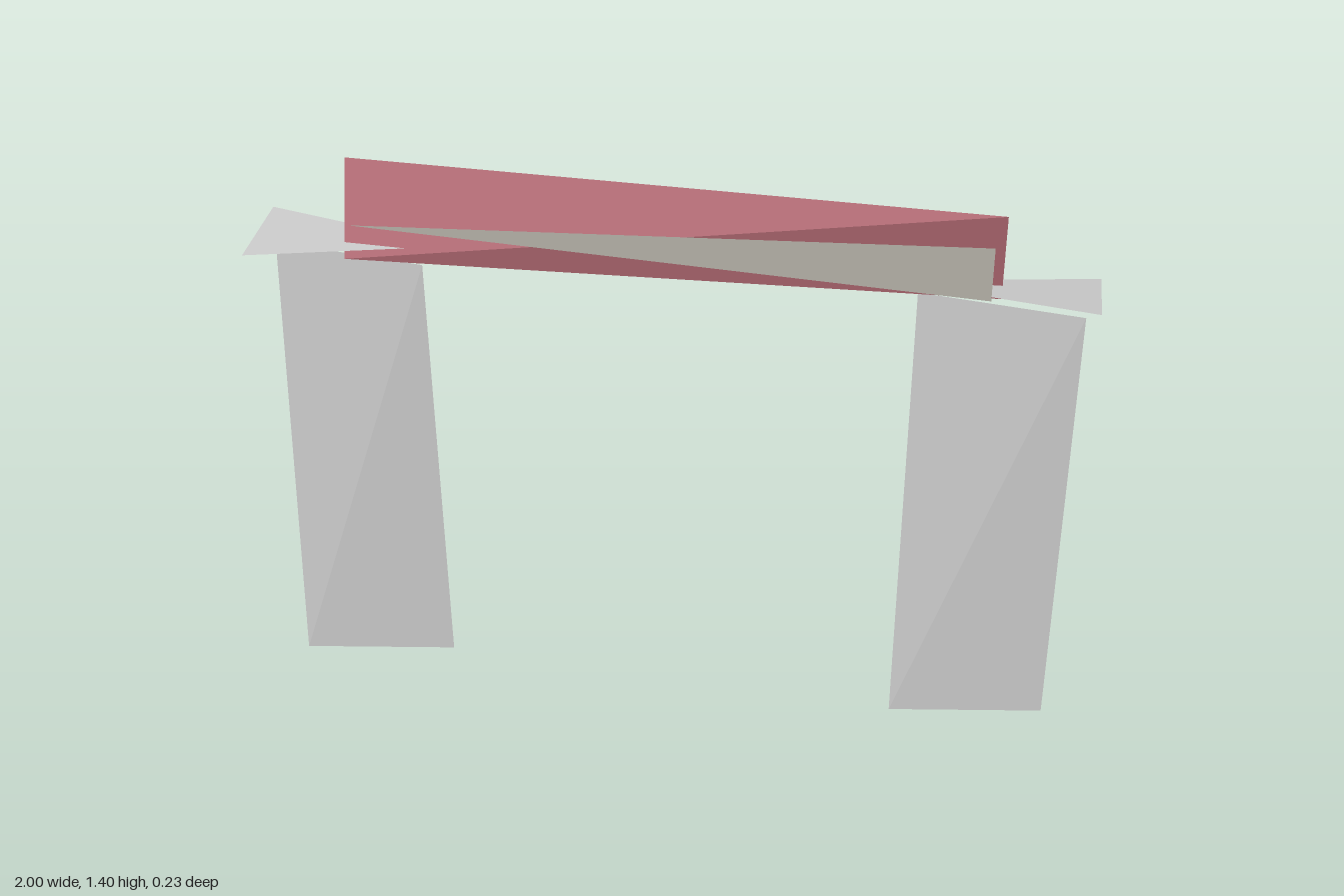
import * as THREE from 'three';

const grey = new THREE.MeshStandardMaterial({ color: 0xcccccc, flatShading: true, side: THREE.DoubleSide });
const red = new THREE.MeshStandardMaterial({ color: 0xb96e78, flatShading: true, side: THREE.DoubleSide });
const pale = new THREE.MeshStandardMaterial({ color: 0xccc9be, flatShading: true, side: THREE.DoubleSide });

// Mesh from corner points and triangles, with unshared corners for flat facets
function facets(name, points, faces, material) {
  const geometry = new THREE.BufferGeometry().setFromPoints(
    faces.flat().map((i) => new THREE.Vector3(...points[i])));
  geometry.computeVertexNormals();
  const mesh = new THREE.Mesh(geometry, material);
  mesh.name = name;
  return mesh;
}

// Four-cornered twisted slab: corners alternate between front and back
function twistedSlab(name, x0, x1, y0, y1, depth, material) {
  const d = depth / 2;
  const points = [[x0, y0, d], [x1, y0, -d], [x1, y1, d], [x0, y1, -d]];
  return facets(name, points, [[0, 1, 2], [0, 2, 3], [1, 0, 3], [2, 1, 3]], material);
}

// Flat sliver running from a point to a tilted end edge
function sliver(name, tip, endA, endB, material) {
  return facets(name, [tip, endA, endB], [[0, 1, 2]], material);
}

export function createModel() {
  const model = new THREE.Group();

  // Posts
  model.add(twistedSlab('rightPost', -0.97, -0.585, 0, 1.165, 0.062, grey));
  model.add(twistedSlab('leftPost', 0.585, 0.97, 0, 1.165, 0.062, grey));

  // Crossbeam
  model.add(twistedSlab('crossbeam', -0.777, 0.777, 1.165, 1.4, 0.062, red));

  // Wing at each end, turned half a circle for the other side
  for (const [name, s] of [['leftWing', 1], ['rightWing', -1]]) {
    model.add(sliver(name, [0.51 * s, 1.206, 0],
      [s, 1.218, 0.115 * s], [s, 1.195, -0.115 * s], grey));
  }

  // Tapered panel in front of the beam
  model.add(sliver('frontPanel', [-0.74, 1.285, 0.095],
    [0.755, 1.21, 0.075], [0.755, 1.36, 0.115], pale));

  return model;
}
